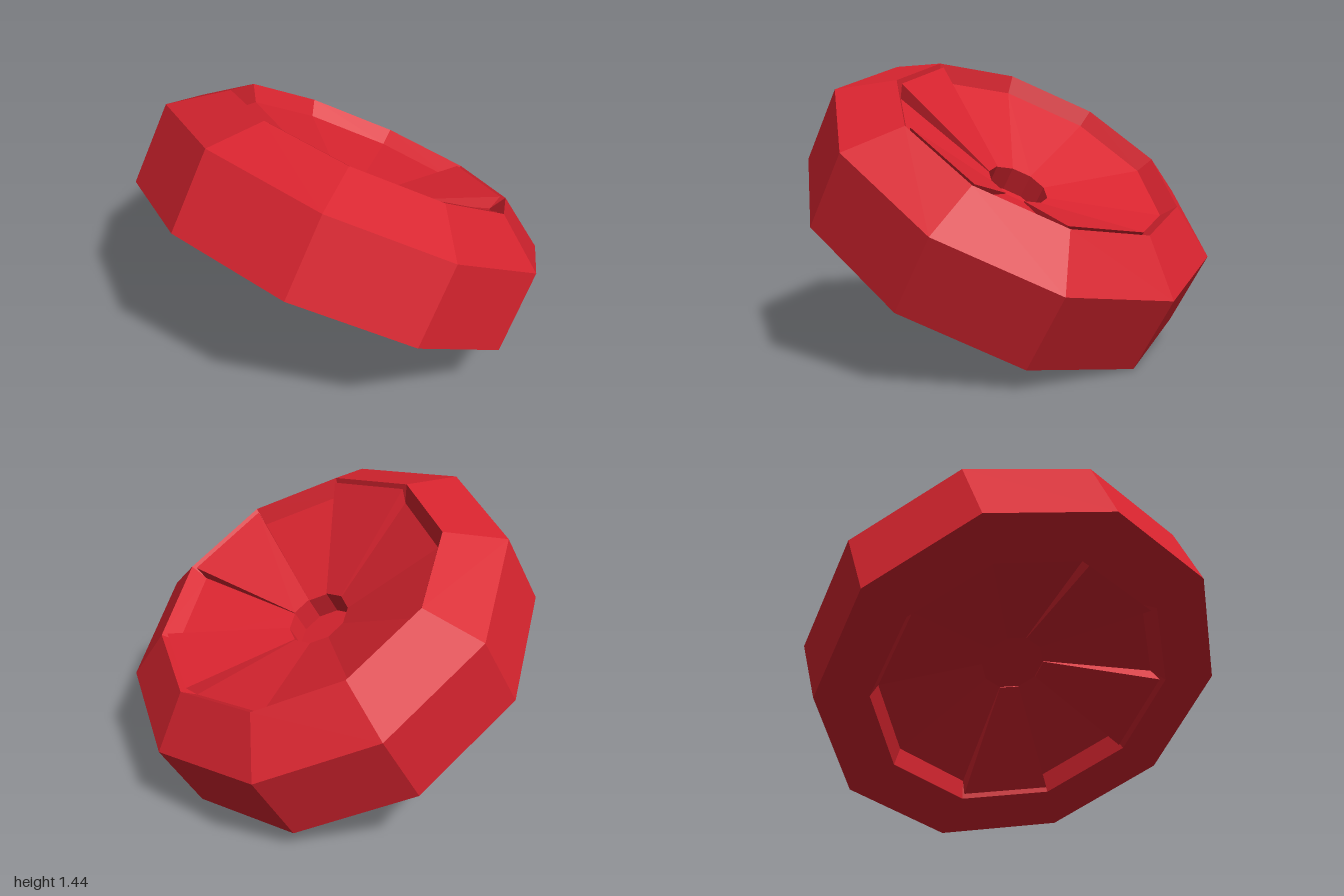
import * as THREE from 'three';

const SIDES = 10;
const STEP = (Math.PI * 2) / SIDES;

// Flat facets with crisp edges
function faceted(geometry) {
  const flat = geometry.toNonIndexed();
  flat.computeVertexNormals();
  return flat;
}

// Ten-sided turned part, with a corner on +x
function turned(name, profile, material) {
  const points = profile.map(([r, y]) => new THREE.Vector2(r, y));
  const mesh = new THREE.Mesh(faceted(new THREE.LatheGeometry(points, SIDES, Math.PI / 2)), material);
  mesh.name = name;
  return mesh;
}

// Wedge that fills one sector of a dish, tapering to the hub.
// Heights are [rim, hub] for its upper and lower faces; radii are those of its outer edge.
function sectorPlate(name, index, upper, lower, upperRadius, lowerRadius, material) {
  const geometry = new THREE.BoxGeometry(1, 1, 1);
  const p = geometry.attributes.position;
  const middle = (index + 0.5) * STEP;
  for (let i = 0; i < p.count; i++) {
    const outer = p.getZ(i) > 0;
    const top = p.getY(i) > 0;
    const angle = middle - Math.sign(p.getX(i)) * STEP * 0.5;
    const r = outer ? (top ? upperRadius : lowerRadius) : 0.163;
    const y = (top ? upper : lower)[outer ? 0 : 1];
    p.setXYZ(i, r * Math.cos(angle), y, r * Math.sin(angle));
  }
  const mesh = new THREE.Mesh(faceted(geometry), material);
  mesh.name = name + index;
  return mesh;
}

export function createModel() {
  const red = new THREE.MeshStandardMaterial({ name: 'red', color: 0xd8242f, side: THREE.DoubleSide });
  const model = new THREE.Group();
  model.name = 'tiltedDisc';

  // Disc leaning down towards +x
  const disc = new THREE.Group();
  disc.name = 'disc';
  disc.rotation.z = -0.534;
  disc.position.set(-0.1075, 0.5275, 0);
  model.add(disc);

  // Underside ring, outer wall and bevel
  disc.add(turned('outerRim', [[0.769, -0.01], [1.0365, 0], [1.0365, 0.422], [0.769, 0.605]], red));
  // Steep lip and shallow cone on top
  disc.add(turned('bowl', [[0.769, 0.605], [0.715, 0.523], [0.163, 0.354]], red));
  // Sunken centre socket
  disc.add(turned('hub', [[0.163, 0.354], [0.163, 0.225], [0, 0.225]], red));
  // Matching dish underneath
  disc.add(turned('lowerBowl', [[0, 0.2], [0.163, 0.2], [0.715, 0.072], [0.769, -0.01]], red));

  // Three alternate raised sectors on the +z half of each dish
  for (const index of [0, 2, 4]) {
    disc.add(sectorPlate('upperPlate', index, [0.6, 0.359], [0.52, 0.351], 0.738, 0.715, red));
    disc.add(sectorPlate('lowerPlate', index, [0.075, 0.203], [-0.005, 0.195], 0.715, 0.738, red));
  }

  return model;
}
